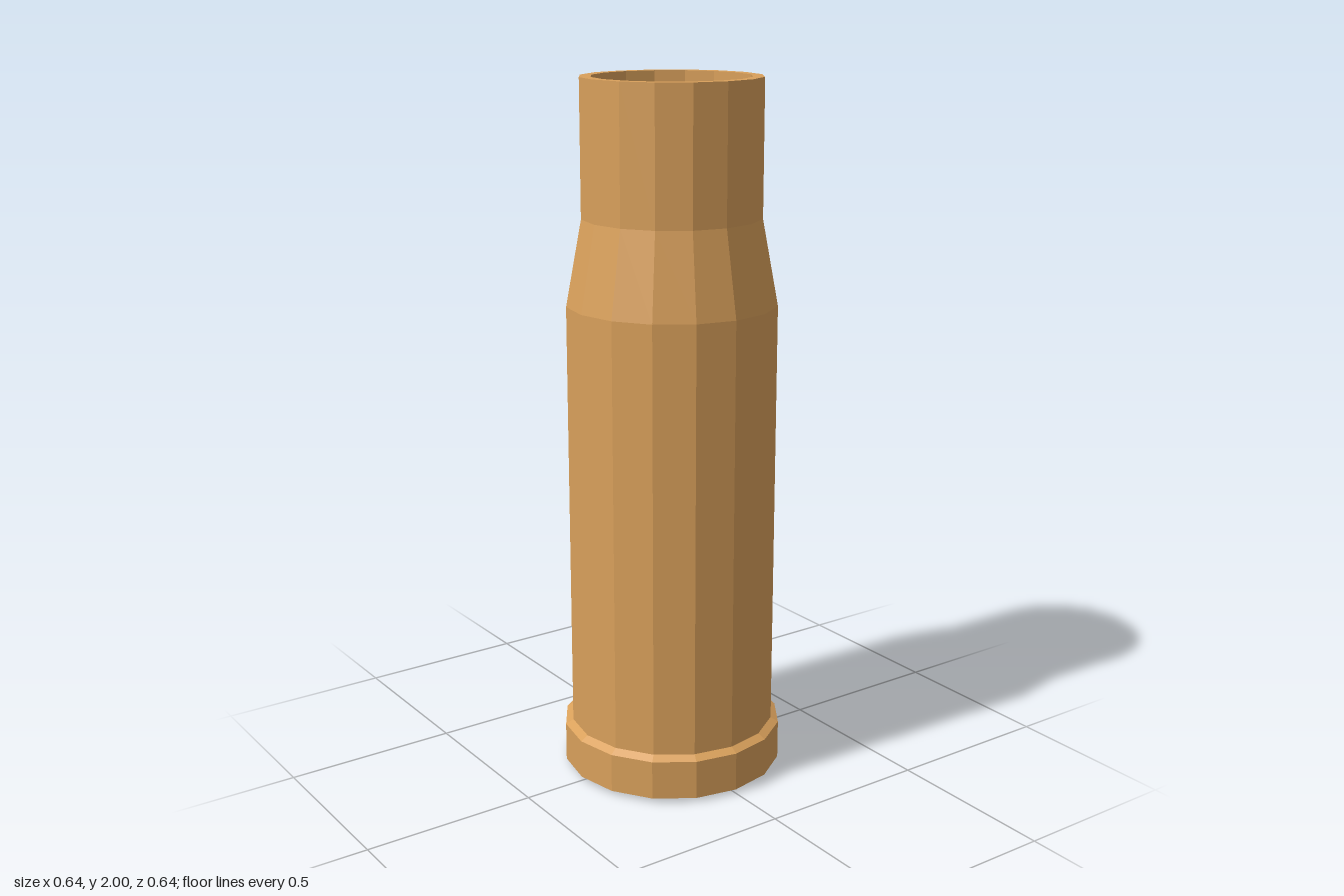
import * as THREE from 'three';

const SIDES = 16;

// Turned part from [radius, height] pairs, running from the underside outward and up
function turned(name, profile, material) {
  const points = profile.map(([r, y]) => new THREE.Vector2(r, y));
  const mesh = new THREE.Mesh(new THREE.LatheGeometry(points, SIDES), material);
  mesh.name = name;
  return mesh;
}

export function createModel() {
  const group = new THREE.Group();
  group.name = 'cartridgeCase';
  const brass = new THREE.MeshStandardMaterial({ color: 0xd9a05b, flatShading: true });

  // Base rim with a small bevel up to the body
  group.add(turned('rim', [
    [0, 0.012], [0.32, 0.012], [0.32, 0.125], [0.298, 0.138],
  ], brass));

  // Body, shoulder, neck, mouth lip and hollow interior down to its floor
  group.add(turned('caseWall', [
    [0.298, 0.138], [0.298, 1.38], [0.253, 1.62], [0.253, 2],
    [0.221, 2], [0.218, 0.14], [0, 0.14],
  ], brass));

  // Slightly raised primer disc under the base
  group.add(turned('primer', [
    [0, 0], [0.112, 0], [0.127, 0.012],
  ], brass));

  return group;
}
